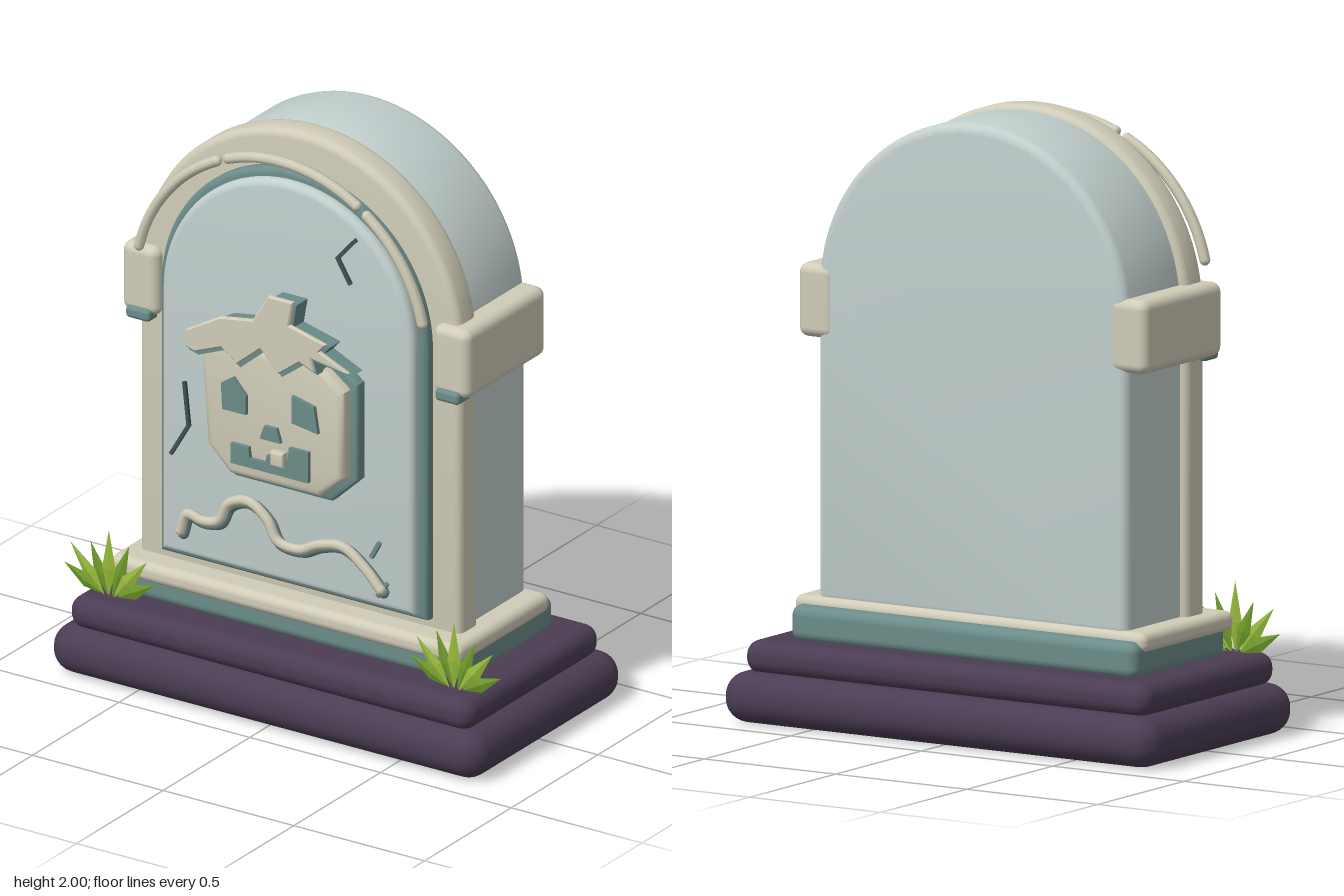
import * as THREE from 'three';
import { toCreasedNormals } from 'three/addons/utils/BufferGeometryUtils.js';
import { RoundedBoxGeometry } from 'three/addons/geometries/RoundedBoxGeometry.js';

const mat = (name, color, extra = {}) => {
  const m = new THREE.MeshStandardMaterial({ color, ...extra });
  m.name = name;
  return m;
};

export function createModel() {
  const root = new THREE.Group();
  root.name = 'gravestone';
  const purple = mat('purple base', 0x4b3d54);
  const stone = mat('pale stone', 0xc2d0ce);
  const cream = mat('cream trim', 0xd0ccb8);
  const teal = mat('teal trim', 0x6b8c89);
  const dark = mat('dark crack', 0x3c5357);
  const greenA = mat('light grass', 0x95b83c, { flatShading: true });
  const greenB = mat('deep grass', 0x6f9a2a, { flatShading: true });

  const add = (name, geo, material, parent = root) => {
    const mesh = new THREE.Mesh(geo, material);
    mesh.name = name;
    parent.add(mesh);
    return mesh;
  };
  // Rounded box given by its limits on each axis
  const block = (name, [x0, x1], [y0, y1], [z0, z1], r, material) => {
    const geo = new RoundedBoxGeometry(x1 - x0, y1 - y0, z1 - z0, 4, r);
    return add(name, geo.translate((x0 + x1) / 2, (y0 + y1) / 2, (z0 + z1) / 2), material);
  };
  // Extruded outline from z0 to z1, bevelled inward
  const prism = (name, shape, z0, z1, bevel, material, parent = root, segments = 3) => {
    const geo = new THREE.ExtrudeGeometry(shape, {
      depth: z1 - z0 - 2 * bevel, bevelEnabled: bevel > 0, bevelThickness: bevel,
      bevelSize: bevel, bevelOffset: -bevel, bevelSegments: segments, curveSegments: 40,
    }).translate(0, 0, z0 + bevel);
    return add(name, toCreasedNormals(geo, 0.65), material, parent);
  };
  const poly = (pts, dx = 0, dy = 0) => new THREE.Shape(pts.map(([x, y]) => new THREE.Vector2(x + dx, y + dy)));
  // Straight sides with a round top
  const arch = (r, bottom, top) => {
    const s = new THREE.Shape();
    s.moveTo(-r, bottom);
    s.lineTo(r, bottom);
    s.lineTo(r, top - r);
    s.absarc(0, top - r, r, 0, Math.PI, false);
    s.closePath();
    return s;
  };

  // Stepped base
  block('lowerStep', [-0.825, 0.825], [0, 0.165], [-0.435, 0.44], 0.078, purple);
  block('upperStep', [-0.77, 0.77], [0.155, 0.265], [-0.375, 0.4], 0.05, purple);
  block('tealPlinth', [-0.66, 0.66], [0.255, 0.375], [-0.268, 0.27], 0.035, teal);
  block('creamPlinth', [-0.67, 0.67], [0.335, 0.402], [-0.228, 0.305], 0.028, cream);

  // Slab, frame and recessed-looking panels
  prism('stoneBody', arch(0.59, 0.38, 1.985), -0.21, 0.13, 0.03, stone);
  prism('archFrame', arch(0.615, 0.38, 2), 0.105, 0.212, 0.025, cream);
  prism('panelBorder', arch(0.51, 0.435, 1.88), 0.19, 0.25, 0.018, teal);
  prism('panel', arch(0.482, 0.46, 1.852), 0.23, 0.285, 0.022, stone);

  // Three raised rails over the arch
  for (const [a0, a1] of [[13, 53.5], [58.5, 111], [116, 166]]) {
    const pts = [];
    for (let i = 0; i <= 8; i++) {
      const a = THREE.MathUtils.degToRad(a0 + (a1 - a0) * i / 8);
      pts.push(new THREE.Vector3(0.557 * Math.cos(a), 1.385 + 0.557 * Math.sin(a), 0.323));
    }
    tube('archRail', pts, 0.018, cream);
  }

  // Shoulder blocks with small feet
  for (const s of [-1, 1]) {
    const side = (a, b) => [Math.min(s * a, s * b), Math.max(s * a, s * b)];
    block('shoulderBlock', side(0.525, 0.665), [1.235, 1.475], [-0.215, 0.245], 0.032, cream);
    block('shoulderFoot', side(0.545, 0.638), [1.22, 1.262], [0.18, 0.26], 0.014, teal);
  }

  // Carved pumpkin
  const pumpkin = new THREE.Group();
  pumpkin.name = 'carvedPumpkin';
  root.add(pumpkin);
  prism('headBacking', poly([[-0.295, 1.24], [-0.27, 0.9], [-0.175, 0.805], [0.195, 0.805], [0.296, 0.9],
    [0.296, 1.235], [0.18, 1.315], [-0.2, 1.315]]), 0.275, 0.325, 0.012, teal, pumpkin);
  prism('head', poly([[-0.275, 1.24], [-0.25, 0.915], [-0.165, 0.832], [0.18, 0.832], [0.27, 0.915],
    [0.27, 1.215], [0.17, 1.29], [-0.2, 1.29]]), 0.3, 0.374, 0.022, cream, pumpkin);
  const cap = [[-0.305, 1.315], [-0.175, 1.39], [-0.05, 1.41], [0.01, 1.508], [0.105, 1.508], [0.09, 1.425],
    [0.23, 1.39], [0.205, 1.36], [0.315, 1.31], [0.17, 1.33], [0.185, 1.285], [0.13, 1.305], [0.05, 1.245],
    [-0.02, 1.315], [-0.11, 1.24], [-0.17, 1.285], [-0.27, 1.245], [-0.305, 1.255]];
  prism('capBacking', poly(cap, 0.004, -0.014), 0.33, 0.395, 0, teal, pumpkin);
  prism('cap', poly(cap), 0.393, 0.412, 0.005, cream, pumpkin, 1);
  const features = {
    rightEye: [[-0.185, 1.15], [-0.14, 1.18], [-0.09, 1.125], [-0.09, 1.06], [-0.18, 1.06]],
    leftEye: [[0.085, 1.17], [0.17, 1.15], [0.185, 1.06], [0.085, 1.075]],
    nose: [[-0.02, 1.04], [0.027, 1.04], [0.042, 0.992], [-0.037, 0.992]],
    mouth: [[-0.148, 0.95], [-0.08, 0.95], [-0.075, 0.913], [-0.015, 0.913], [-0.01, 0.94], [0.07, 0.94],
      [0.075, 0.987], [0.148, 0.987], [0.148, 0.88], [-0.148, 0.88]],
  };
  for (const [name, pts] of Object.entries(features)) prism(name, poly(pts), 0.37, 0.388, 0, teal, pumpkin);
  prism('tooth', poly([[0.012, 0.965], [0.062, 0.965], [0.062, 0.915], [0.012, 0.915]]), 0.37, 0.405, 0.008, cream, pumpkin);

  // Curled vine: cream strand over a teal one
  function tube(name, pts, r, material) {
    const curve = new THREE.CatmullRomCurve3(pts);
    add(name, new THREE.TubeGeometry(curve, 80, r, 8), material);
    for (const t of [0, 1]) {
      add(name + 'End', new THREE.SphereGeometry(r, 8, 6).translate(...curve.getPoint(t).toArray()), material);
    }
  }
  const vine = [[-0.385, 0.56], [-0.36, 0.625], [-0.3, 0.615], [-0.24, 0.63], [-0.2, 0.7], [-0.125, 0.725],
    [-0.055, 0.68], [-0.015, 0.615], [0.07, 0.605], [0.145, 0.64], [0.235, 0.655], [0.315, 0.605], [0.38, 0.54]];
  tube('vine', vine.map(([x, y]) => new THREE.Vector3(x, y, 0.318)), 0.017, cream);
  tube('vineShadow', vine.map(([x, y]) => new THREE.Vector3(x, y - 0.016, 0.3)), 0.019, teal);

  // Cracks and twigs: chains of thin strips
  const strip = (name, pts, width, z, material) => {
    for (let i = 1; i < pts.length; i++) {
      const [[x0, y0], [x1, y1]] = [pts[i - 1], pts[i]];
      const geo = new THREE.BoxGeometry(Math.hypot(x1 - x0, y1 - y0) + width * 0.6, width, 0.014);
      geo.rotateZ(Math.atan2(y1 - y0, x1 - x0)).translate((x0 + x1) / 2, (y0 + y1) / 2, z);
      add(name, geo, material);
    }
  };
  strip('upperCrack', [[0.265, 1.72], [0.198, 1.643], [0.245, 1.565]], 0.012, 0.289, dark);
  strip('lowerCrack', [[-0.388, 1.065], [-0.372, 0.92], [-0.438, 0.808]], 0.012, 0.289, dark);
  strip('vineTwig', [[0.335, 0.64], [0.362, 0.69]], 0.014, 0.3, teal);
  strip('vineTwig', [[0.39, 0.555], [0.36, 0.51]], 0.014, 0.3, teal);

  // Grass: a fan of thin ridged blades on each front corner
  const blade = (len, w) => {
    const geo = new THREE.BufferGeometry();
    const h = len * 0.42, d = 0.008;
    geo.setAttribute('position', new THREE.Float32BufferAttribute(
      [0, 0, 0, w, h, 0, 0, len, 0, -w, h, 0, 0, h, d, 0, h, -d], 3));
    geo.setIndex([0, 1, 4, 1, 2, 4, 2, 3, 4, 3, 0, 4, 1, 0, 5, 2, 1, 5, 3, 2, 5, 0, 3, 5]);
    geo.computeVertexNormals();
    return geo;
  };
  for (const s of [-1, 1]) {
    const tuft = new THREE.Group();
    tuft.name = 'grassTuft';
    tuft.position.set(s * 0.66, 0.262, 0.313);
    [[-62, 0.165], [-40, 0.2], [-19, 0.2], [0, 0.232], [21, 0.185], [40, 0.205], [63, 0.17]].forEach(([deg, len], i) => {
      const b = add('grassBlade', blade(len, 0.026), i % 2 ? greenA : greenB, tuft);
      b.rotation.z = -s * THREE.MathUtils.degToRad(deg);
      b.position.set(s * deg * 0.0004, 0, (i % 2 ? 0.004 : -0.003));
    });
    root.add(tuft);
  }
  return root;
}
